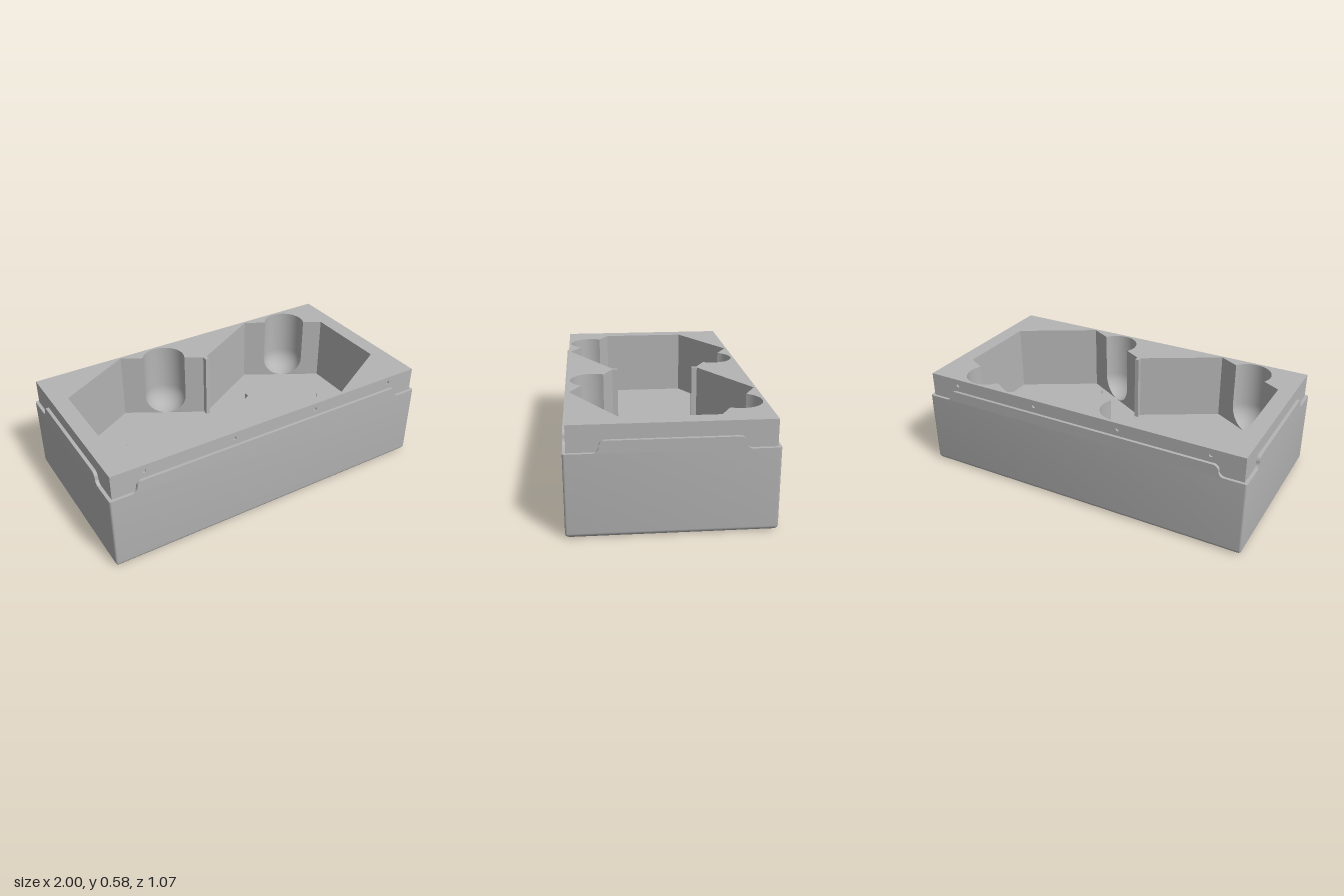
import * as THREE from 'three';
import { toCreasedNormals } from 'three/addons/utils/BufferGeometryUtils.js';

const W = 1, D = 0.533;            // shell half sizes
const BW = 0.981, BD = 0.516;      // inner block half sizes
const RIM = 0.444, TOP = 0.585;    // shell rim and block top
const FLOOR = 0.185, SCOOP = 0.127; // cavity floor and scoop radius

// Outlines are anticlockwise seen from above, with plan y pointing to -z
const ring = (points, y) => points.map(p => new THREE.Vector3(p.x, y, -p.y));

// Stitch closed rings of equal length into one surface
function loft(rings) {
  const n = rings[0].length, pos = [], index = [];
  rings.forEach(r => r.forEach(p => pos.push(p.x, p.y, p.z)));
  for (let k = 0; k < rings.length - 1; k++) {
    for (let i = 0; i < n; i++) {
      const a = k * n + i, b = k * n + (i + 1) % n;
      index.push(a, b, b + n, a, b + n, a + n);
    }
  }
  const g = new THREE.BufferGeometry();
  g.setAttribute('position', new THREE.Float32BufferAttribute(pos, 3));
  g.setIndex(index);
  return toCreasedNormals(g, 0.55);
}

function roundedRect(hx, hy, r) {
  const points = [];
  [[1, 1], [-1, 1], [-1, -1], [1, -1]].forEach(([sx, sy], q) => {
    for (let i = 0; i <= 5; i++) {
      const a = (q + i / 5) * Math.PI / 2;
      points.push(new THREE.Vector2(sx * (hx - r) + r * Math.cos(a), sy * (hy - r) + r * Math.sin(a)));
    }
  });
  return points;
}

// Two joined hexagons with a half-round scoop on four of the slanted sides
function cavityOutline(r) {
  const half = [], add = (x, y) => half.push(new THREE.Vector2(x, y));
  const scoop = (x, y) => {
    for (let i = 0; i <= 24; i++) {
      const a = -Math.PI / 6 + Math.PI * i / 24;
      add(x + r * Math.cos(a), y + r * Math.sin(a));
    }
  };
  add(0.887, 0.253);
  scoop(0.675, 0.3743);
  add(0.45, 0.503);
  add(0.012, 0.253);
  add(0.012, 0.222);
  add(-0.012, 0.222);
  add(-0.012, 0.253);
  scoop(-0.2225, 0.3732);
  add(-0.45, 0.503);
  add(-0.887, 0.253);
  return half.concat(half.map(p => p.clone().negate()));
}

// Raised tab with S-shaped ends
function tabGeometry(m, depth) {
  const r = 0.032, y = RIM + r, s = new THREE.Shape();
  s.moveTo(-m - r, RIM);
  s.lineTo(m + r, RIM);
  s.absarc(m + r, y, r, -Math.PI / 2, -Math.PI, true);
  s.absarc(m - r, y, r, 0, Math.PI / 2, false);
  s.lineTo(-m + r, y + r);
  s.absarc(-m + r, y, r, Math.PI / 2, Math.PI, false);
  s.absarc(-m - r, y, r, 0, -Math.PI / 2, true);
  return toCreasedNormals(
    new THREE.ExtrudeGeometry(s, { depth, bevelEnabled: false, curveSegments: 8 }), 0.5);
}

export function createModel() {
  const model = new THREE.Group();
  const grey = new THREE.MeshStandardMaterial({ color: 0xb4b4b4 });
  grey.name = 'grey';
  const add = (name, geometry, parent = model) => {
    const mesh = new THREE.Mesh(geometry, grey);
    mesh.name = name;
    parent.add(mesh);
    return mesh;
  };

  // Outer shell with rounded bottom edge, closed by a narrow rim
  const R = 0.025, rings = [];
  for (let i = 0; i <= 6; i++) {
    const a = i / 6 * Math.PI / 2, inset = R * (1 - Math.sin(a));
    rings.push(ring(roundedRect(W - inset, D - inset, 0.012), R * (1 - Math.cos(a))));
  }
  rings.push(ring(roundedRect(W, D, 0.012), RIM));
  rings.push(ring(roundedRect(BW, BD, 0.001), RIM));
  add('shell', loft(rings));
  const base = new THREE.ShapeGeometry(new THREE.Shape(roundedRect(W - R, D - R, 0.012)));
  add('shellBottom', base.rotateX(Math.PI / 2));

  // Cavity walls: straight scoops ending in rounded bottoms
  const walls = [ring(cavityOutline(SCOOP), TOP)];
  for (let i = 0; i <= 10; i++) {
    const a = i / 10 * Math.PI / 2;
    walls.push(ring(cavityOutline(SCOOP * Math.cos(a)), FLOOR + SCOOP * (1 - Math.sin(a))));
  }
  add('cavityWalls', loft(walls));
  const floorShape = new THREE.Shape(cavityOutline(0.0005));
  add('cavityFloor', new THREE.ShapeGeometry(floorShape).rotateX(-Math.PI / 2)).position.y = FLOOR;

  // Block top around the cavity
  const topShape = new THREE.Shape(roundedRect(BW, BD, 0.001));
  topShape.holes.push(new THREE.Path(cavityOutline(SCOOP)));
  add('blockTop', new THREE.ShapeGeometry(topShape).rotateX(-Math.PI / 2)).position.y = TOP;

  // Long block walls with four small pin holes, and their tabs
  const holeX = [-0.795, -0.265, 0.265, 0.795], holeY = 0.548, depth = 0.012;
  const panel = new THREE.Shape();
  panel.moveTo(-BW, RIM);
  panel.lineTo(BW, RIM);
  panel.lineTo(BW, TOP);
  panel.lineTo(-BW, TOP);
  holeX.forEach(x => {
    const hole = new THREE.Path();
    hole.absarc(x, holeY, 0.011, 0, Math.PI * 2, true);
    panel.holes.push(hole);
  });
  const panelGeometry = toCreasedNormals(
    new THREE.ExtrudeGeometry(panel, { depth, bevelEnabled: false, curveSegments: 16 }), 0.5);
  const longTab = tabGeometry(0.845, D - BD), shortTab = tabGeometry(0.358, W - BW);

  ['front', 'back'].forEach((side, i) => {
    const group = new THREE.Group();
    group.name = side + 'Side';
    group.rotation.y = i * Math.PI;
    add(side + 'Wall', panelGeometry, group).position.z = BD - depth;
    add(side + 'Tab', longTab, group).position.z = BD;
    holeX.forEach(x => {
      add('pinHoleEnd', new THREE.CircleGeometry(0.012, 16), group).position.set(x, holeY, BD - depth + 0.001);
    });
    model.add(group);
  });

  // Short block walls and their tabs
  ['left', 'right'].forEach((side, i) => {
    const group = new THREE.Group();
    group.name = side + 'Side';
    group.rotation.y = (i ? -1 : 1) * Math.PI / 2;
    add(side + 'Wall', new THREE.PlaneGeometry(2 * BD, TOP - RIM), group).position.set(0, (TOP + RIM) / 2, BW);
    add(side + 'Tab', shortTab, group).position.z = BW;
    model.add(group);
  });
  return model;
}
